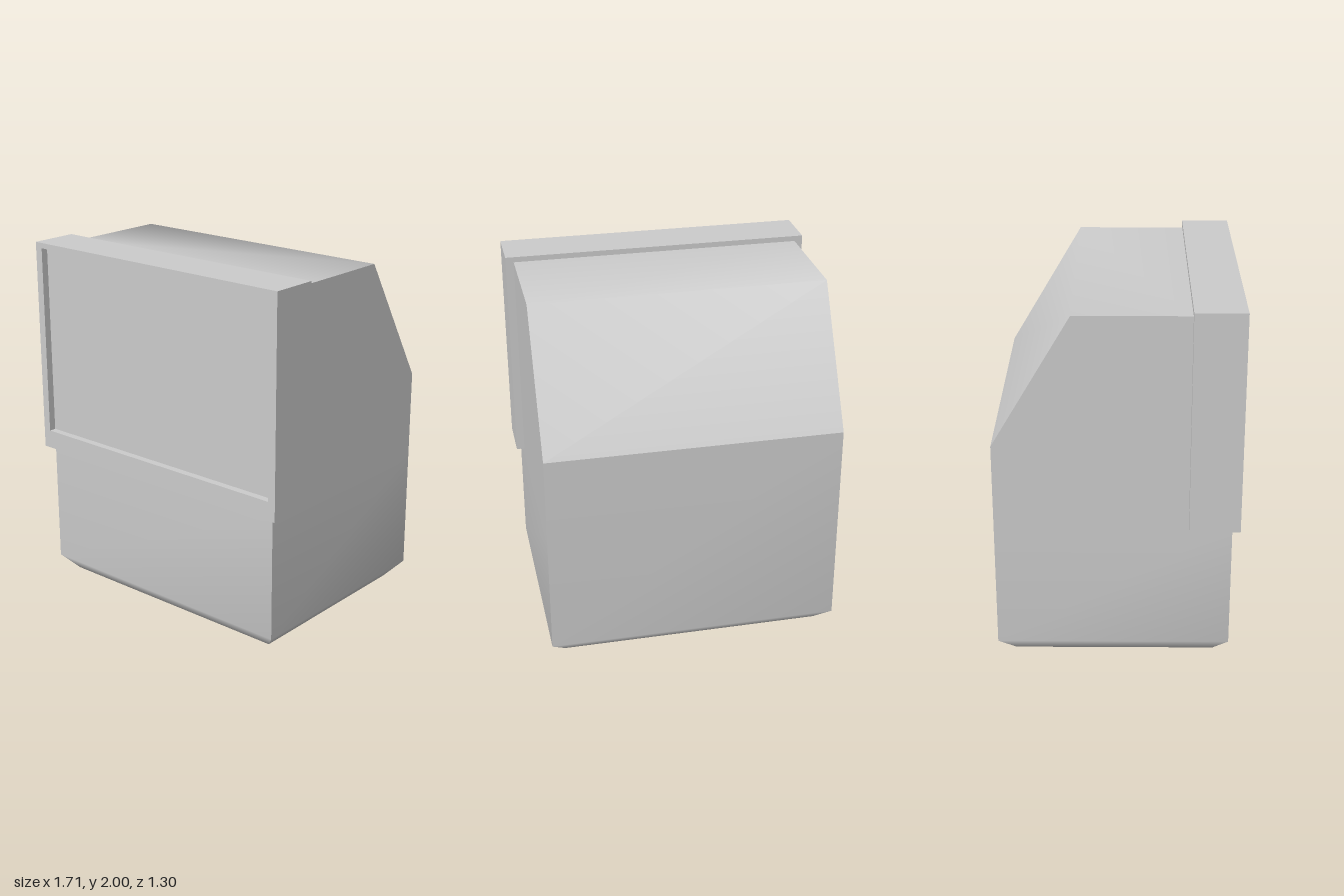
import * as THREE from 'three';
import { mergeVertices } from 'three/addons/utils/BufferGeometryUtils.js';

// Key dimensions
const W = 0.81, W0 = 0.73;              // body half width: walls, bottom rim
const BACK = -0.65, BACK0 = -0.56;      // back wall, bottom rim
const FRONT = 0.61, FRONT0 = 0.53;      // front wall, bottom rim
const CH = 0.09, TOP = 1.97;            // chamfer height, body top
const FW = 0.855, FY0 = 0.79, FY1 = 2;  // frame outline
const FZ0 = 0.38, FZ1 = 0.65;           // frame depth
const OY0 = 0.895;                      // lower edge of the screen opening

const material = new THREE.MeshStandardMaterial({ color: 0xcccccc, side: THREE.DoubleSide });

// Convex polygons to one surface; shared corners are shaded smoothly
function patch(polys) {
  const pos = [];
  for (const p of polys)
    for (let i = 1; i < p.length - 1; i++) pos.push(...p[0], ...p[i], ...p[i + 1]);
  const g = new THREE.BufferGeometry();
  g.setAttribute('position', new THREE.Float32BufferAttribute(pos, 3));
  const merged = mergeVertices(g);
  merged.computeVertexNormals();
  return merged;
}

// Same polygons on the other side of x = 0
const mirror = (polys) => polys.map((p) => p.map(([x, y, z]) => [-x, y, z]).reverse());

// Quad spanning the width, from a lower (y, z, half width) to an upper one
const across = (y0, z0, w0, y1, z1, w1) =>
  [[-w0, y0, z0], [w0, y0, z0], [w1, y1, z1], [-w1, y1, z1]];

const flat = (points) =>
  new THREE.ShapeGeometry(new THREE.Shape(points.map((p) => new THREE.Vector2(...p))));

export function createModel() {
  const model = new THREE.Group();
  const add = (parent, name, geometry) => {
    const mesh = new THREE.Mesh(geometry, material);
    mesh.name = name;
    parent.add(mesh);
  };

  // Body: hollow shell, open underneath and behind the screen
  const body = new THREE.Group();
  body.name = 'body';
  add(body, 'frontWall', patch([
    across(0, FRONT0, W0, CH, FRONT, W),
    across(CH, FRONT, W, FY0, FRONT, W),
  ]));
  add(body, 'backWall', patch([
    across(0, BACK0, W0, CH, BACK, W).reverse(),
    across(CH, BACK, W, 1.26, BACK, W).reverse(),
  ]));
  add(body, 'roof', patch([
    across(1.26, BACK, W, TOP, -0.23, W).reverse(),
    across(TOP, FZ0, W, TOP, -0.23, W),
  ]));
  const side = [
    [[-W0, 0, BACK0], [-W0, 0, FRONT0], [-W, CH, FRONT], [-W, CH, BACK]],
    [[-W, CH, BACK], [-W, CH, FRONT], [-W, FY0, FRONT], [-W, FY0, BACK]],
    [[-W, FY0, BACK], [-W, FY0, FZ0], [-W, TOP, FZ0], [-W, TOP, -0.23], [-W, 1.26, BACK]],
  ];
  add(body, 'rightWall', patch(side));
  add(body, 'leftWall', patch(mirror(side)));
  model.add(body);

  // Screen frame: hollow casing wrapped round the front
  const frame = new THREE.Group();
  frame.name = 'screenFrame';
  const cheek = [[[-FW, FY0, FZ0], [-FW, FY0, FZ1], [-FW, FY1, FZ1], [-FW, FY1, FZ0]]];
  add(frame, 'frameRight', patch(cheek));
  add(frame, 'frameLeft', patch(mirror(cheek)));
  add(frame, 'frameTop', patch([across(FY1, FZ1, FW, FY1, FZ0, FW)]));

  // U-shaped strips that close the casing against the body
  const collar = (start, inner, outer) => flat([
    [-FW, start], [-W, start], [-W, inner], [W, inner],
    [W, start], [FW, start], [FW, outer], [-FW, outer],
  ]);
  add(frame, 'frameBack', collar(FY0, TOP, FY1).rotateY(Math.PI).translate(0, 0, FZ0));
  add(frame, 'frameUnderside', collar(FZ0, FRONT, FZ1).rotateX(Math.PI / 2).translate(0, FY0, 0));

  // Bezel with its opening
  const rect = (w, y0, y1) => [[-w, y0], [w, y0], [w, y1], [-w, y1]].map((p) => new THREE.Vector2(...p));
  const bezel = new THREE.Shape(rect(FW, FY0, FY1));
  bezel.holes.push(new THREE.Path(rect(W, OY0, TOP)));
  add(frame, 'bezel', new THREE.ShapeGeometry(bezel).translate(0, 0, FZ1));

  // Recess walls round the screen
  const reveal = [[[-W, OY0, FZ1], [-W, OY0, FRONT], [-W, TOP, FRONT], [-W, TOP, FZ1]].reverse()];
  reveal[0].reverse();
  const inward = reveal.map((p) => [...p].reverse());
  add(frame, 'revealRight', patch(inward.map((p) => [...p].reverse())));
  add(frame, 'revealLeft', patch(mirror(reveal)));
  add(frame, 'revealBottom', patch([across(OY0, FZ1, W, OY0, FRONT, W)]));
  add(frame, 'revealTop', patch([across(TOP, FRONT, W, TOP, FZ1, W)]));
  model.add(frame);

  // Recessed screen
  add(model, 'screen', patch([across(OY0, FRONT, W, TOP, FRONT, W)]));

  return model;
}
